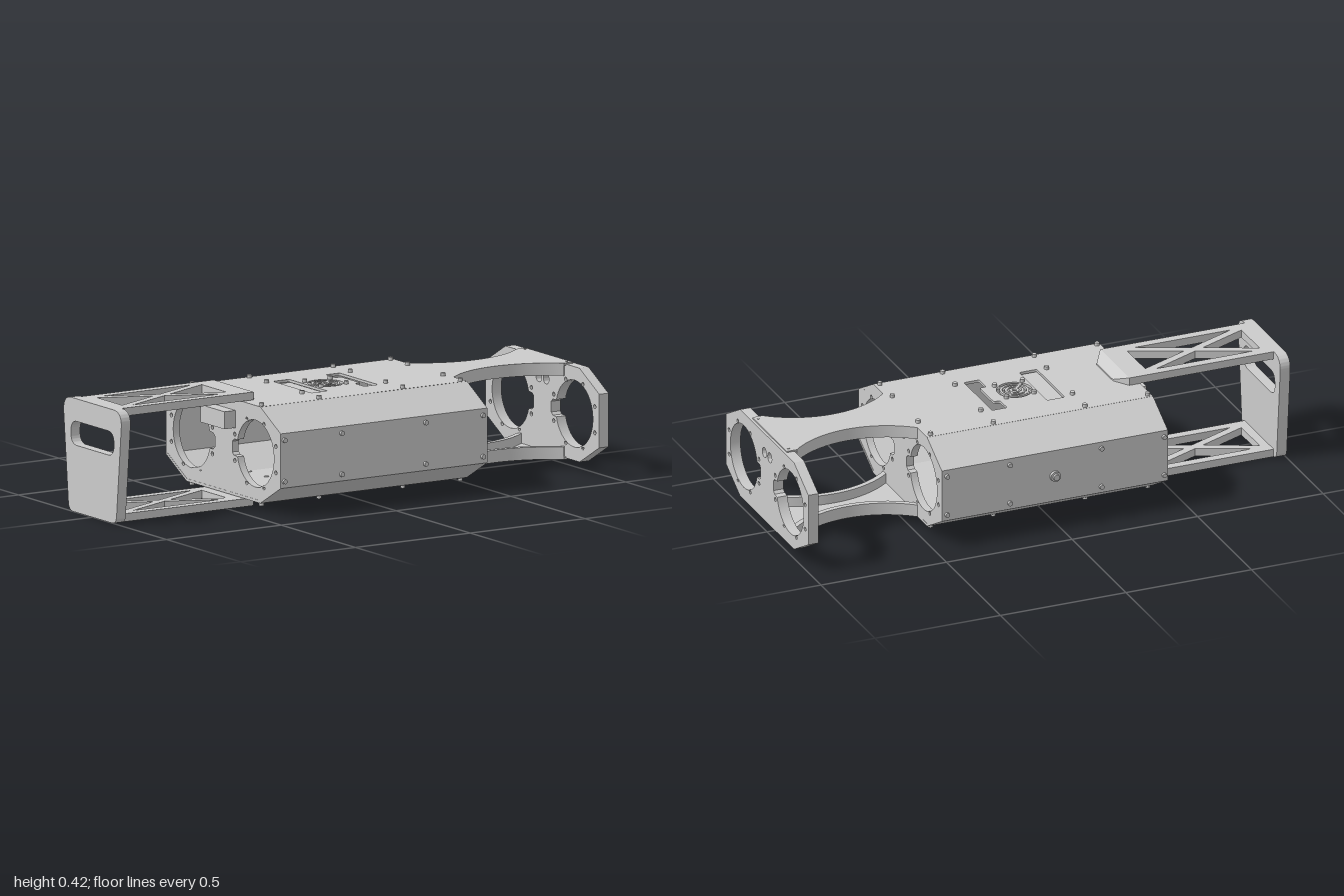
import * as THREE from 'three';
import { toCreasedNormals } from 'three/addons/utils/BufferGeometryUtils.js';

const mat = new THREE.MeshStandardMaterial({ color: 0xcccccc });
const H = 0.424, MID = H / 2, TOP = 0.392; // overall height, mid height, outer face of the shell

function add(parent, geo, name, x = 0, y = 0, z = 0) {
  const m = new THREE.Mesh(geo, mat);
  m.name = name;
  m.position.set(x, y, z);
  parent.add(m);
  return m;
}

// closed outline with rounded corners; r is one radius or one per corner
function outline(pts, r = 0, Type = THREE.Shape) {
  const s = new Type(), n = pts.length;
  const v = pts.map(p => new THREE.Vector2(p[0], p[1]));
  v.forEach((p, i) => {
    const rad = Array.isArray(r) ? r[i] : r;
    const toward = q => p.clone().add(q.clone().sub(p).setLength(rad));
    const a = toward(v[(i + n - 1) % n]), b = toward(v[(i + 1) % n]);
    if (i === 0) s.moveTo(a.x, a.y); else s.lineTo(a.x, a.y);
    if (rad > 0) s.quadraticCurveTo(p.x, p.y, b.x, b.y);
  });
  s.closePath();
  return s;
}
const hole = (pts, r = 0) => outline(pts, r, THREE.Path);
const circle = (x, y, r) => new THREE.Path().absarc(x, y, r, 0, Math.PI * 2);
const rect = (x0, x1, y0, y1) => [[x0, y0], [x1, y0], [x1, y1], [x0, y1]];

function extrude(shape, depth) {
  const g = new THREE.ExtrudeGeometry(shape, { depth, bevelEnabled: false, curveSegments: 20 });
  return toCreasedNormals(g, 0.5);
}
// shape (z, y) pushed along +x, and shape (x, z) pushed down from y = 0
const alongX = (shape, d) => extrude(shape, d).rotateY(Math.PI / 2);
const downY = (shape, d) => extrude(shape, d).rotateX(Math.PI / 2);

// octagonal end plate with two notched round openings and bolt holes
function bulkhead(withPorts) {
  const y0 = H - 0.387, y1 = 0.387;
  const s = outline([[-0.25, y0], [0.25, y0], [0.383, 0.112], [0.383, H - 0.112],
    [0.25, y1], [-0.25, y1], [-0.383, H - 0.112], [-0.383, 0.112]]);
  for (const k of [-1, 1]) {
    const pts = [];
    for (let i = 0; i <= 48; i++) {
      const a = -Math.PI + 0.26 + (i / 48) * (2 * Math.PI - 0.52);
      pts.push([k * (0.215 + 0.125 * Math.cos(a)), MID + 0.125 * Math.sin(a)]);
    }
    for (const [z, dy] of [[0.07, 0.03], [0.059, 0.02], [0.059, -0.02], [0.07, -0.03]])
      pts.push([k * z, MID + dy]);
    s.holes.push(hole(pts));
    for (let i = 0; i < 8; i++) {
      const a = Math.PI / 8 + i * Math.PI / 4;
      s.holes.push(circle(k * (0.214 + 0.15 * Math.cos(a)), MID + 0.128 * Math.sin(a), 0.008));
    }
    if (withPorts) s.holes.push(circle(k * 0.025, 0.31, 0.019));
  }
  return s;
}

function screw(parent, x, y, z, axis = 'y', r = 0.009) {
  const g = new THREE.CylinderGeometry(r, r, 0.024, 14);
  if (axis === 'z') g.rotateX(Math.PI / 2);
  add(parent, g, 'screw', x, y, z);
}

// concave neck edge: centre and radius of the arc
const NX = 0.71, NR = 0.365, NZ = 0.07 + NR, NA = Math.asin(0.24 / NR);
const arcPts = (k, r) => Array.from({ length: 25 }, (_, i) => {
  const a = -NA + (i / 24) * 2 * NA;
  return [NX + r * Math.sin(a), k * (NZ - r * Math.cos(a))];
});

// everything on the upper face; turned over for the lower face
function face(isTop) {
  const g = new THREE.Group();

  // flat shell panel with vent and slots
  const panel = outline(rect(-0.43, 0.47, -0.25, 0.25));
  panel.holes.push(circle(0.015, 0, 0.066));
  if (isTop) {
    panel.holes.push(hole(rect(-0.13, -0.06, -0.13, 0.13), 0.008));
    panel.holes.push(hole([[0.1, -0.13], [0.16, -0.13], [0.16, 0.13], [0.1, 0.13],
      [0.1, 0.065], [0.125, 0.065], [0.125, -0.065], [0.1, -0.065]], 0.006));
    add(g, new THREE.BoxGeometry(0.09, 0.01, 0.28), 'displayPanel', -0.095, TOP - 0.019, 0);
  }
  add(g, downY(panel, 0.01), 'shellPanel', 0, TOP, 0);

  // fan grille: rings and spokes
  const grille = new THREE.Group();
  grille.name = 'fanGrille';
  grille.position.set(0.015, TOP, 0);
  for (const [ro, ri] of [[0.018, 0.008], [0.036, 0.027], [0.054, 0.045]]) {
    const ring = new THREE.Shape().absarc(0, 0, ro, 0, Math.PI * 2);
    ring.holes.push(circle(0, 0, ri));
    add(grille, downY(ring, 0.01), 'grilleRing');
  }
  for (let i = 0; i < 4; i++) {
    const a = Math.PI / 4 + i * Math.PI / 2;
    const bar = add(grille, new THREE.BoxGeometry(0.054, 0.009, 0.01), 'grilleSpoke',
      0.041 * Math.cos(a), -0.005, -0.041 * Math.sin(a));
    bar.rotation.y = a;
  }
  g.add(grille);

  // waisted neck plate and its curved flanges
  const neck = outline([...arcPts(1, NR), [0.99, 0.16], [0.99, -0.16], ...arcPts(-1, NR).reverse()]);
  add(g, downY(neck, 0.01), 'neckPlate', 0, TOP, 0);
  for (const k of [-1, 1]) {
    const rib = outline([...arcPts(k, NR), ...arcPts(k, NR + 0.02).reverse()]);
    add(g, downY(rib, 0.045), 'neckFlange', 0, TOP - 0.002, 0);
  }

  // trussed handle arm with a tapered nose
  const arm = outline([[-0.97, -0.135], [-0.385, -0.135], [-0.345, -0.075],
    [-0.345, 0.075], [-0.385, 0.135], [-0.97, 0.135]]);
  const cx = -0.6975, hx = 0.2275, hz = 0.1, dx = 0.037, dz = 0.0164;
  for (const k of [-1, 1]) {
    arm.holes.push(hole([[cx + k * hx, hz - dz], [cx + k * hx, dz - hz], [cx + k * dx, 0]]));
    arm.holes.push(hole([[cx + hx - dx, k * hz], [cx - hx + dx, k * hz], [cx, k * dz]]));
  }
  const armGeo = downY(arm, 0.03);
  const p = armGeo.attributes.position;
  for (let i = 0; i < p.count; i++)
    if (p.getX(i) > -0.35 && p.getY(i) > -0.01) p.setY(i, -0.024);
  armGeo.computeVertexNormals();
  add(g, armGeo, 'handleArm', 0, H, 0);

  // screws
  for (const k of [-1, 1]) {
    for (const x of [-0.415, -0.165, 0.2, 0.45]) screw(g, x, TOP, k * 0.235);
    for (const x of [-0.165, 0.2, 0.45]) screw(g, x, TOP, k * 0.12);
    for (const x of [-0.04, 0.07]) screw(g, x, TOP, k * 0.055);
    screw(g, 0.975, TOP - 0.01, k * 0.14, 'y', 0.005);
  }
  return g;
}

export function createModel() {
  const model = new THREE.Group();
  model.name = 'handledFrame';

  const upper = face(true), lower = face(false);
  upper.name = 'upperFace';
  lower.name = 'lowerFace';
  lower.rotation.x = Math.PI;
  lower.position.y = H;
  model.add(upper, lower);

  // folded side panels
  for (const k of [-1, 1]) {
    const side = [[0.249, TOP], [0.387, 0.314], [0.387, H - 0.314], [0.249, H - TOP],
      [0.247, H - TOP + 0.01], [0.377, 0.116], [0.377, H - 0.116], [0.247, TOP - 0.01]];
    add(model, alongX(outline(side.map(([z, y]) => [-k * z, y])), 0.9),
      k > 0 ? 'frontSidePanel' : 'backSidePanel', -0.43, 0, 0);
    for (const x of [-0.415, -0.165, 0.2, 0.45])
      for (const y of [0.135, H - 0.135]) screw(model, x, y, k * 0.385, 'z');
  }

  // bulkheads of the body and the outer end plate
  add(model, alongX(bulkhead(false), 0.028), 'rearBulkhead', -0.429, 0, 0);
  add(model, alongX(bulkhead(true), 0.028), 'forwardBulkhead', 0.441, 0, 0);
  add(model, alongX(bulkhead(true), 0.04), 'endPlate', 0.96, 0, 0);

  // tapered handle plate with a grip slot
  const grip = outline([[-0.16, 0], [0.16, 0], [0.2, H], [-0.2, H]], [0.03, 0.03, 0.06, 0.06]);
  grip.holes.push(hole(rect(-0.145, 0.145, 0.25, 0.34), 0.042));
  add(model, alongX(grip, 0.04), 'handlePlate', -1, 0, 0);

  // connector block behind the handle, and the button on the back
  add(model, new THREE.BoxGeometry(0.05, 0.065, 0.16), 'connectorBlock', -0.452, 0.318, 0);
  for (const [r, d] of [[0.02, 0.012], [0.012, 0.022]])
    add(model, new THREE.CylinderGeometry(r, r, d, 20).rotateX(Math.PI / 2),
      'backButton', 0.02, MID, -0.386 - d / 2);
  return model;
}
